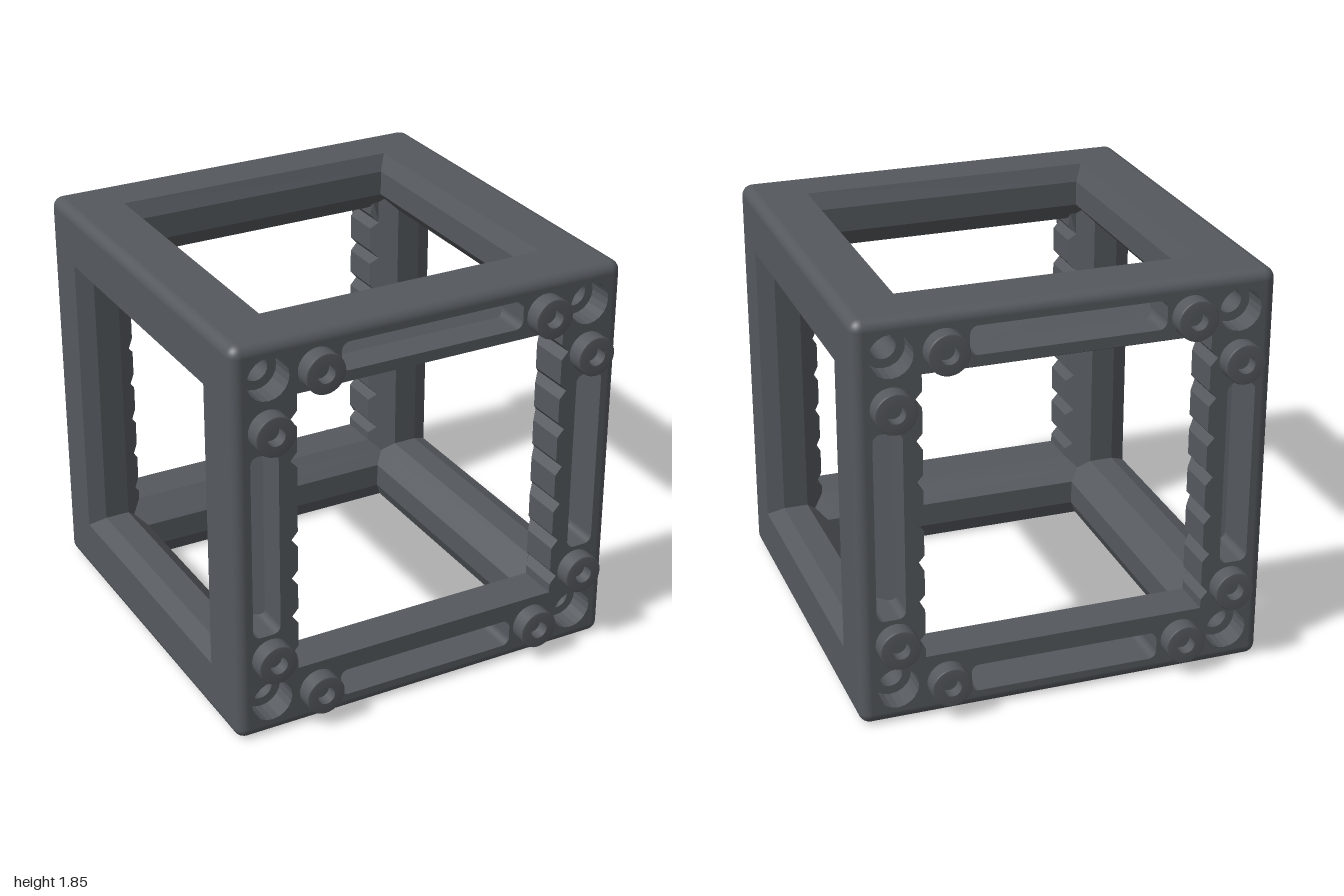
import * as THREE from 'three';
import { RoundedBoxGeometry } from 'three/addons/geometries/RoundedBoxGeometry.js';

const H = 0.925;        // half of the cube
const R = 0.05;         // outer edge radius
const W = 0.635;        // half of each window
const LIP = 0.67;       // half of a window at its outer lip
const DIAG = 1.37;      // inner diagonal faces lie on a + b = DIAG
const BORE = 0.762;     // corner hole position
const NOTCHES = [-3, -2, -1, 0, 1, 2, 3].map(k => k * 0.186);

const mat = new THREE.MeshStandardMaterial({ color: 0x55595e, side: THREE.DoubleSide });
const flatMat = new THREE.MeshStandardMaterial({ color: 0x55595e, side: THREE.DoubleSide, flatShading: true });

function add(parent, name, geometry, material = mat) {
  const mesh = new THREE.Mesh(geometry, material);
  mesh.name = name;
  parent.add(mesh);
  return mesh;
}

const poly = pts => pts.map(p => new THREE.Vector2(p[0], p[1]));
const square = h => poly([[-h, -h], [h, -h], [h, h], [-h, h]]);

// Rounded rectangle path for the slots
function slot(cx, cy, hw, hh, r = 0.035) {
  const p = new THREE.Path();
  p.absarc(cx + hw - r, cy + hh - r, r, 0, Math.PI / 2);
  p.absarc(cx - hw + r, cy + hh - r, r, Math.PI / 2, Math.PI);
  p.absarc(cx - hw + r, cy - hh + r, r, Math.PI, Math.PI * 1.5);
  p.absarc(cx + hw - r, cy - hh + r, r, Math.PI * 1.5, Math.PI * 2);
  p.closePath();
  return p;
}

// Rounded outer edges and corners only, with the flat sides left out
function edgeShell() {
  const box = new RoundedBoxGeometry(2 * H, 2 * H, 2 * H, 4, R);
  const src = box.index ? box.toNonIndexed() : box;
  const p = src.attributes.position, n = src.attributes.normal;
  const pos = [], nor = [];
  const isFlat = i => Math.max(Math.abs(n.getX(i)), Math.abs(n.getY(i)), Math.abs(n.getZ(i))) > 0.999;
  for (let i = 0; i < p.count; i += 3) {
    if (isFlat(i) && isFlat(i + 1) && isFlat(i + 2)
      && n.getX(i) * n.getX(i + 1) + n.getY(i) * n.getY(i + 1) + n.getZ(i) * n.getZ(i + 1) > 0.9) continue;
    for (let j = i; j < i + 3; j++) {
      pos.push(p.getX(j), p.getY(j), p.getZ(j));
      nor.push(n.getX(j), n.getY(j), n.getZ(j));
    }
  }
  const g = new THREE.BufferGeometry();
  g.setAttribute('position', new THREE.Float32BufferAttribute(pos, 3));
  g.setAttribute('normal', new THREE.Float32BufferAttribute(nor, 3));
  return g;
}

// Slotted and bored plate with a toothed window
function toothedPlate() {
  const shape = new THREE.Shape(square(H - R));
  const right = [[W, -W]];
  for (const y of NOTCHES) right.push([W, y - 0.036], [0.667, y], [W, y + 0.036]);
  right.push([W, LIP]);
  const left = right.map(([x, y]) => [-x, y]).reverse();
  shape.holes.push(new THREE.Path(poly([...right, ...left])));
  for (const s of [-1, 1]) {
    shape.holes.push(slot(0, s * 0.783, 0.43, 0.064), slot(s * 0.783, 0, 0.064, 0.43));
    for (const t of [-1, 1]) {
      const bore = new THREE.Path();
      bore.absarc(s * BORE, t * BORE, 0.095, 0, Math.PI * 2);
      shape.holes.push(bore);
    }
  }
  const g = new THREE.ExtrudeGeometry(shape, { depth: 0.22, bevelEnabled: false, curveSegments: 10 });
  g.translate(0, 0, H - 0.22);
  // Trim the rear of the window walls to the inner diagonal faces
  const p = g.attributes.position;
  for (let i = 0; i < p.count; i++) {
    if (p.getZ(i) > 0.8) continue;
    p.setZ(i, Math.max(0.705, DIAG - Math.max(Math.abs(p.getX(i)), Math.abs(p.getY(i)))));
  }
  g.computeVertexNormals();
  return g;
}

// Hollow round peg
function pegGeometry() {
  const g = new THREE.LatheGeometry(poly([[0, 0.02], [0.04, 0.02], [0.04, 0.02], [0.04, 0.075], [0.04, 0.075],
    [0.085, 0.075], [0.09, 0.07], [0.09, 0.07], [0.09, -0.01]]), 28);
  return g.rotateX(Math.PI / 2);
}

function toothedFace() {
  const face = new THREE.Group();
  add(face, 'toothedPlate', toothedPlate());

  // Sloped lip above the window
  const wedge = new THREE.ExtrudeGeometry(
    new THREE.Shape(poly([[-H, LIP], [-0.85, W], [-0.735, W], [-0.70, LIP]])),
    { depth: 2 * W, bevelEnabled: false });
  wedge.translate(0, 0, -W).rotateY(Math.PI / 2);
  add(face, 'windowLip', wedge);

  const peg = pegGeometry();
  for (let i = 0; i < 4; i++) {
    const side = new THREE.Group();
    side.name = 'faceSide';
    side.rotation.z = i * Math.PI / 2;
    // Slanted slot floor
    const floor = add(side, 'slotFloor', new THREE.PlaneGeometry(0.88, 0.23));
    floor.position.set(0, 0.775, 0.725);
    floor.rotation.x = -Math.PI / 4;
    // Pegs at both ends of the slot
    for (const s of [-1, 1]) add(side, 'peg', peg).position.set(s * 0.54, 0.765, H);
    // Counterbore floor
    add(side, 'boreFloor', new THREE.RingGeometry(0.055, 0.096, 28)).position.set(BORE, BORE, 0.81);
    face.add(side);
  }
  return face;
}

// Plain side with a sloped window reveal, facing +z
function plainFace() {
  const face = new THREE.Group();
  const shape = new THREE.Shape(square(H - R));
  shape.holes.push(new THREE.Path(square(LIP)));
  add(face, 'sidePanel', new THREE.ShapeGeometry(shape)).position.z = H;
  const d = Math.SQRT2;
  const reveal = new THREE.LatheGeometry(poly([[LIP * d, H], [W * d, 0.85], [W * d, 0.735]]), 4);
  reveal.rotateY(Math.PI / 4).rotateX(Math.PI / 2);
  add(face, 'windowReveal', reveal, flatMat);
  return face;
}

// Inner diagonal face of a beam, pointed at both ends
function diagonalFace(notched) {
  const v = 0.1 / Math.SQRT2;
  const pts = [[-W, -v], [W, -v], [0.685, 0], [W, v]];
  if (notched) {
    for (const y of [...NOTCHES].reverse()) pts.push([y + 0.036, v], [y, v - 0.032 * Math.SQRT2], [y - 0.036, v]);
  }
  pts.push([-W, v], [-0.685, 0]);
  return new THREE.ShapeGeometry(new THREE.Shape(poly(pts)));
}

export function createModel() {
  const model = new THREE.Group();
  model.name = 'cubeFrame';
  const cube = new THREE.Group();
  cube.name = 'cube';
  cube.position.y = H;
  model.add(cube);

  add(cube, 'roundedEdges', edgeShell());

  // Front and back
  [['frontFace', 0], ['backFace', Math.PI]].forEach(([name, turn]) => {
    const face = toothedFace();
    face.name = name;
    face.rotation.y = turn;
    cube.add(face);
  });

  // Left, right, top and bottom
  [['leftFace', 0, Math.PI / 2], ['rightFace', 0, -Math.PI / 2],
    ['topFace', -Math.PI / 2, 0], ['bottomFace', Math.PI / 2, 0]].forEach(([name, rx, ry]) => {
    const face = plainFace();
    face.name = name;
    face.rotation.set(rx, ry, 0);
    cube.add(face);
  });

  // Inner diagonals of the twelve beams, and bores through the four deep ones
  const axis = i => new THREE.Vector3().setComponent(i, 1);
  for (const [a, b] of [[0, 2], [1, 2], [0, 1]]) {
    for (const s of [-1, 1]) for (const t of [-1, 1]) {
      const A = axis(a).multiplyScalar(s), B = axis(b).multiplyScalar(t);
      const middle = A.clone().add(B);
      const inward = middle.clone().normalize().negate();
      const across = B.clone().sub(A).normalize();
      const along = across.clone().cross(inward);
      const g = diagonalFace(a === 0 && b === 2);
      g.applyMatrix4(new THREE.Matrix4().makeBasis(along, across, inward));
      add(cube, 'beamInnerFace', g).position.copy(middle.multiplyScalar(DIAG / 2));
      if (b === 1) {
        const bore = new THREE.CylinderGeometry(0.055, 0.055, 1.62, 24, 1, true).rotateX(Math.PI / 2);
        add(cube, 'cornerBore', bore).position.set(s * BORE, t * BORE, 0);
      }
    }
  }
  return model;
}
